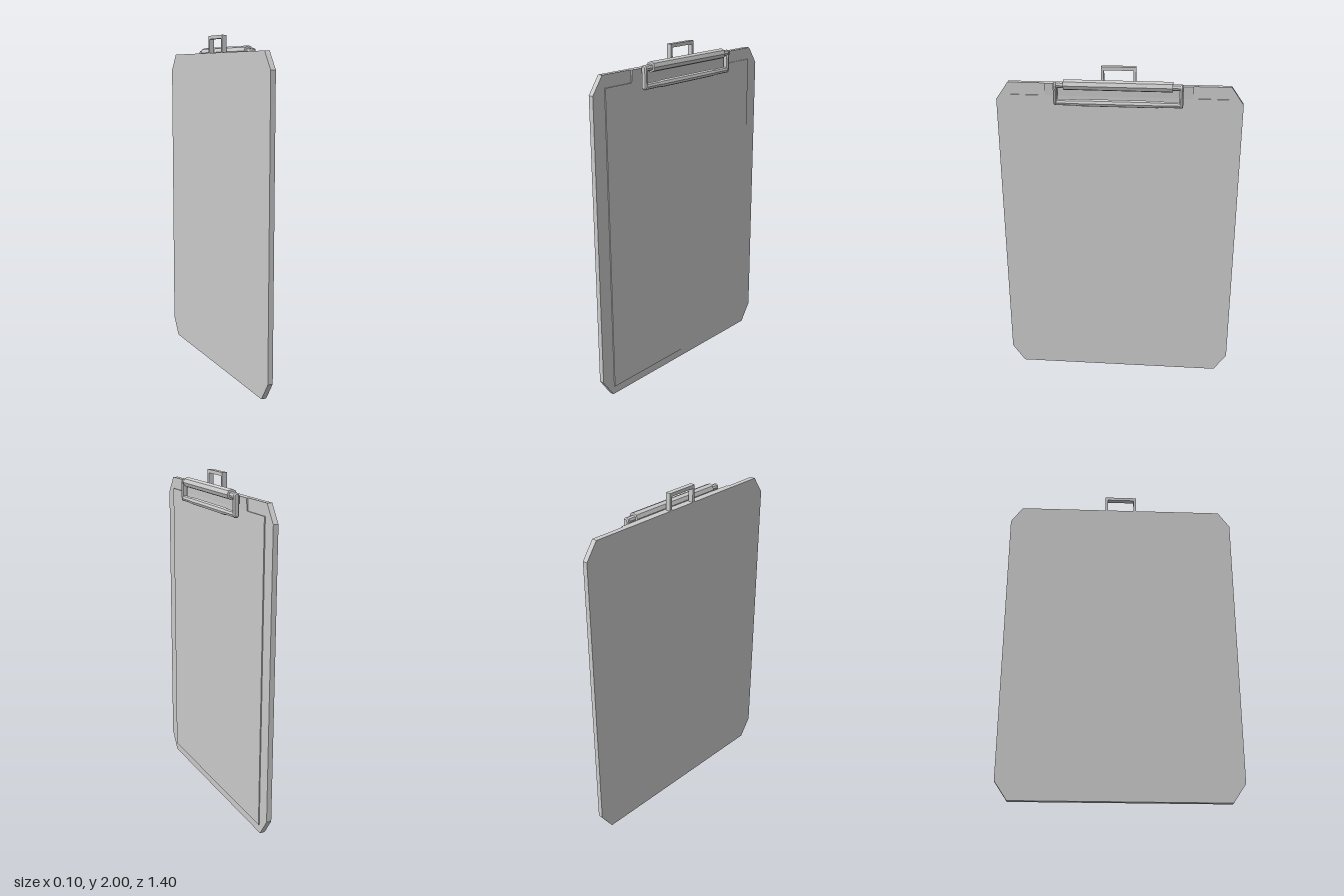
import * as THREE from 'three';

const material = new THREE.MeshStandardMaterial({ color: 0xcccccc, flatShading: true });

function add(group, name, geometry, x = 0, y = 0, z = 0) {
  const mesh = new THREE.Mesh(geometry, material);
  mesh.name = name;
  mesh.position.set(x, y, z);
  group.add(mesh);
  return mesh;
}

const outline = (points) => new THREE.Shape(points.map(([a, b]) => new THREE.Vector2(a, b)));

// Slab drawn in the z-y plane, filling x from back to front
function slab(points, back, front) {
  const g = new THREE.ExtrudeGeometry(outline(points), { depth: front - back, bevelEnabled: false });
  return g.rotateY(-Math.PI / 2).translate(front, 0, 0);
}

// Eight-sided bar running along z
function bar(rStart, rEnd, length) {
  return new THREE.CylinderGeometry(rEnd, rStart, length, 8).rotateX(Math.PI / 2);
}

export function createModel() {
  const root = new THREE.Group();
  root.name = 'clipboard';

  // Backing board with cut corners
  add(root, 'board', slab([
    [-0.625, 0], [0.625, 0], [0.7, 0.11], [0.7, 1.8],
    [0.63, 1.9], [-0.63, 1.9], [-0.7, 1.8], [-0.7, 0.11],
  ], -0.05, -0.02));

  // Raised writing sheet
  add(root, 'paper', slab([[-0.615, 0.05], [0.615, 0.05], [0.615, 1.83], [-0.615, 1.83]], -0.021, -0.014));

  // Shallow wedge carrying the clip
  const wedge = new THREE.ExtrudeGeometry(
    outline([[-0.021, 1.83], [-0.014, 1.83], [-0.01, 1.9], [-0.021, 1.9]]),
    { depth: 0.84, bevelEnabled: false });
  add(root, 'clipBase', wedge, 0, 0, -0.42);

  // Hanging loop on the top edge
  add(root, 'hangingLoop', slab([
    [-0.098, 1.9], [-0.083, 1.9], [-0.083, 1.98], [0.083, 1.98],
    [0.083, 1.9], [0.098, 1.9], [0.098, 2], [-0.098, 2],
  ], -0.05, -0.02));

  // Clip: hinge tube, rod frame and gripping sleeve
  const clip = new THREE.Group();
  clip.name = 'clip';
  clip.position.x = 0.019;
  root.add(clip);
  add(clip, 'hingeTube', bar(0.03, 0.03, 0.61), 0, 1.905);
  add(clip, 'upperRod', bar(0.018, 0.018, 0.7), 0, 1.903);
  add(clip, 'lowerRod', bar(0.018, 0.018, 0.7), 0, 1.803);
  add(clip, 'gripSleeve', bar(0.021, 0.021, 0.44), 0, 1.803);

  // Round-ended side arms with softened edges
  const arm = new THREE.Shape();
  arm.absarc(0, 1.903, 0.011, 0, Math.PI);
  arm.absarc(0, 1.803, 0.011, Math.PI, Math.PI * 2);
  const armGeometry = new THREE.ExtrudeGeometry(arm, {
    depth: 0.008, curveSegments: 5, bevelSize: 0.007, bevelThickness: 0.007, bevelSegments: 1,
  }).translate(0, 0, -0.004);
  for (const side of [-1, 1]) {
    add(clip, 'sideArm', armGeometry, 0, 0, side * 0.353);
    const taper = side > 0 ? bar(0.021, 0.0175, 0.03) : bar(0.0175, 0.021, 0.03);
    add(clip, 'sleeveTaper', taper, 0, 1.803, side * 0.235);
  }
  return root;
}
